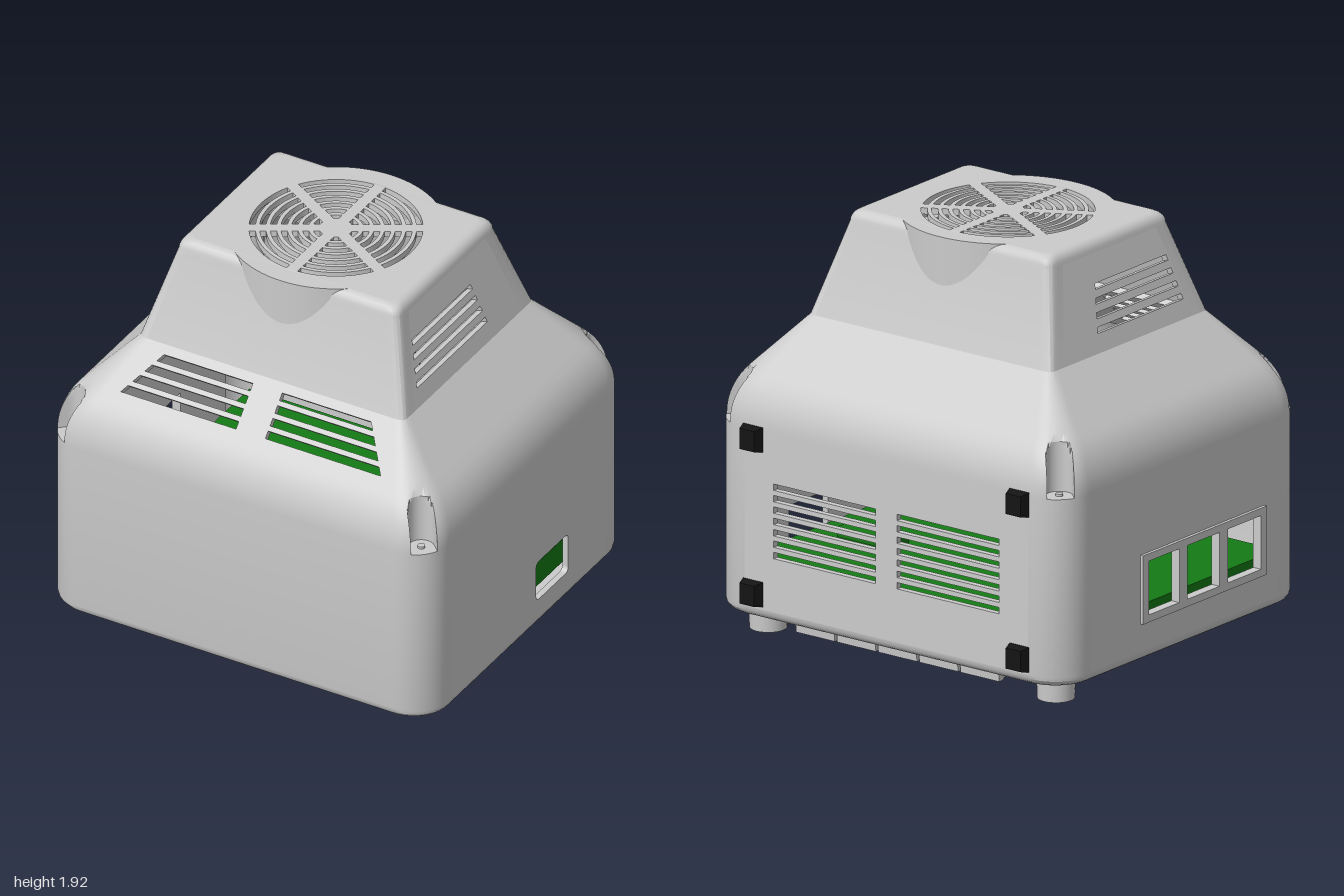
import * as THREE from 'three';
import { toCreasedNormals } from 'three/addons/utils/BufferGeometryUtils.js';

const CX = 0.005, CZ = 0.02;              // middle of the case
const HW = 0.99, HD = 0.877;              // half width and depth of the case
const NOTCH_R = 0.06, NOTCH_T = -0.0746 - NOTCH_R; // screw recess, measured along the corner diagonal
const V = (x, y, z) => new THREE.Vector3(x, y, z);

const grey = new THREE.MeshStandardMaterial({ color: 0xcccccc, side: THREE.DoubleSide });
const green = new THREE.MeshStandardMaterial({ color: 0x147a14 });
const black = new THREE.MeshStandardMaterial({ color: 0x141414 });

// Levels of the shell from bottom to top; "band" names the strip above each level
function shellLevels() {
  const levels = [];
  const body = (y, i, band, notch = false) => levels.push({
    y, hw: HW - i, hd: HD - i, R: 0.18 - 0.48 * i, S: 0.14 - 0.23 * i, band, notch });
  for (let k = 0; k < 4; k++) {
    const a = k / 4 * Math.PI / 2;
    body(0.15 - 0.05 * Math.cos(a), 0.05 * (1 - Math.sin(a)), 'base');
  }
  body(0.15, 0, 'wall');
  body(0.98, 0, 'recessFloor');
  body(0.98, 0, 'shoulder', true);
  for (let k = 0; k < 8; k++) {
    const a = k / 8 * 0.733;
    body(0.99 + 0.33 * Math.sin(a), 0.33 * (1 - Math.cos(a)), 'shoulder', true);
  }
  for (let k = 0; k < 8; k++) body(1.211 + 0.239 * k / 8, 0.085 + 0.225 * k / 8, 'slope', true);
  const hood = (y, hw, hd, R, band) => levels.push({ y, hw, hd, R, S: 0.0687, band });
  hood(1.45, 0.68, 0.567, 0.03, 'hood');
  for (let k = 0; k <= 5; k++) {
    const a = k / 5 * Math.PI / 2;
    hood(1.87 + 0.055 * Math.sin(a), 0.522 + 0.046 * Math.cos(a), 0.387 + 0.046 * Math.cos(a), 0.04, 'top');
  }
  return levels;
}

// Rounded-rectangle ring; each corner is a graph t(s) across its diagonal, cut back by the recess
const CORNERS = [[-1, 1], [1, 1], [1, -1], [-1, -1]];
function ring({ y, hw, hd, R, S, notch }) {
  const half = [];
  for (let k = 1; k <= 6; k++) half.push(NOTCH_R * Math.sin(k * Math.PI / 12));
  for (let k = 0; k <= 6; k++) half.push(0.0605 + (S - 0.0605) * k / 6);
  const list = [...half.map(s => -s).reverse(), 0, ...half];
  const pts = [];
  for (const [dx, dz] of CORNERS) for (const s of list) {
    const m = Math.abs(s), q = Math.SQRT1_2;
    let t = m < R * q ? Math.sqrt(R * R - s * s) - R * Math.SQRT2 : -m;   // from the sharp corner
    t -= (HW - hw) * Math.SQRT2;
    if (notch && m <= NOTCH_R) t = Math.min(t, NOTCH_T - Math.sqrt(NOTCH_R ** 2 - s * s));
    t += (HW - hw) * Math.SQRT2;
    pts.push(V(CX + dx * hw + (dx * t + dz * s) * q, y, CZ + dz * hd + (dz * t - dx * s) * q));
  }
  return pts;
}

// Flat plate with holes in the frame u, v; its outer face lies on the origin
function plate(name, origin, u, v, outline, holes, depth) {
  const vec = pts => pts.map(p => new THREE.Vector2(p[0], p[1]));
  const shape = new THREE.Shape(vec(outline));
  holes.forEach(h => shape.holes.push(new THREE.Path(vec(h))));
  const n = V().crossVectors(u, v);
  const geo = new THREE.ExtrudeGeometry(shape, { depth, bevelEnabled: false });
  geo.translate(0, 0, -depth);
  geo.applyMatrix4(new THREE.Matrix4().makeBasis(u, v, n).setPosition(origin));
  const mesh = new THREE.Mesh(geo, grey);
  mesh.name = name;
  return mesh;
}

// Outline of a rectangle with rounded corners
function rect(x0, x1, y0, y1, r = 0) {
  if (!r) return [[x0, y0], [x1, y0], [x1, y1], [x0, y1]];
  const pts = [];
  [[x1 - r, y1 - r], [x0 + r, y1 - r], [x0 + r, y0 + r], [x1 - r, y0 + r]].forEach(([x, y], q) => {
    for (let k = 0; k <= 5; k++) {
      const a = (q + k / 5) * Math.PI / 2;
      pts.push([x + r * Math.cos(a), y + r * Math.sin(a)]);
    }
  });
  return pts;
}

// Curved slots of the fan grille: seven rings, six spokes
function grilleSlots() {
  const slots = [];
  for (let k = 0; k < 7; k++) for (let j = 0; j < 6; j++) {
    const pts = [], outer = 0.385 - 0.047 * k;
    const arc = (r, dir) => {
      const h = Math.PI / 6 - Math.asin(0.028 / r);
      for (let m = -6; m <= 6; m++) {
        const a = j * Math.PI / 3 + dir * h * m / 6;
        pts.push([r * Math.cos(a), r * Math.sin(a)]);
      }
    };
    arc(outer, 1);
    arc(outer - 0.028, -1);
    slots.push(pts);
  }
  return slots;
}

export function createModel() {
  const model = new THREE.Group();
  const add = (name, geo, mat, x = 0, y = 0, z = 0) => {
    const mesh = new THREE.Mesh(geo, mat);
    mesh.name = name;
    mesh.position.set(x, y, z);
    model.add(mesh);
    return mesh;
  };

  // Shell, leaving out the flat areas that carry openings (sides: 0 front, 1 +x, 2 back, 3 -x)
  const levels = shellLevels(), rings = levels.map(ring);
  const N = rings[0].length, M = N / 4;
  const open = { wall: [1, 2, 3], slope: [0], hood: [1, 3] };
  const pos = [], index = [];
  rings.forEach(r => r.forEach(p => pos.push(p.x, p.y, p.z)));
  for (let l = 0; l < levels.length - 1; l++) for (let j = 0; j < N; j++) {
    if (j % M === M - 1 && open[levels[l].band]?.includes(Math.floor(j / M))) continue;
    const a = l * N + j, b = l * N + (j + 1) % N;
    index.push(a, b, b + N, a, b + N, a + N);
  }
  const shell = new THREE.BufferGeometry();
  shell.setAttribute('position', new THREE.Float32BufferAttribute(pos, 3));
  shell.setIndex(index);
  add('shell', toCreasedNormals(shell, 0.4), grey);

  // Fills a left-out area with a plate; holes are given as [x or z, height]
  function panel(name, band, side, holes) {
    const first = levels.findIndex(l => l.band === band);
    const last = levels.findLastIndex(l => l.band === band) + 1;
    const i = side * M + M - 1, j = (i + 1) % N;
    const [a, b, c, d] = [rings[first][i], rings[first][j], rings[last][j], rings[last][i]];
    const o = a.clone().add(b).multiplyScalar(0.5);
    const u = b.clone().sub(a).normalize();
    const v = c.clone().add(d).multiplyScalar(0.5).sub(o).normalize();
    const flat = p => [p.clone().sub(o).dot(u), p.clone().sub(o).dot(v)];
    const local = ([h, y]) => [side % 2 ? (h - o.z) * u.z : (h - o.x) * u.x, (y - o.y) / v.y];
    model.add(plate(name, o, u, v, [a, b, c, d].map(flat), holes.map(h => h.map(local)), 0.03));
  }

  // Slots in the front slope, hood sides and back
  const frontSlots = [], hoodSlots = [], backSlots = [];
  for (let k = 0; k < 4; k++) {
    const y1 = 1.417 - 0.0437 * k, y0 = y1 - 0.026, x = y => 0.535 + (1.417 - y) * 0.86;
    for (const s of [1, -1])
      frontSlots.push([[0.08, y0], [x(y0), y0], [x(y1), y1], [0.08, y1]].map(p => [CX + s * (p[0] - CX), p[1]]));
    const h1 = 1.742 - 0.061 * k, h0 = h1 - 0.026, e = y => (1.742 - y) * 0.25;
    hoodSlots.push([[-0.128 - e(h0), h0], [0.383 + e(h0), h0], [0.383 + e(h1), h1], [-0.128 - e(h1), h1]]);
  }
  for (let k = 0; k < 7; k++) for (const x of [-0.625, 0.065])
    backSlots.push(rect(x, x + 0.57, 0.4 + 0.053 * k, 0.43 + 0.053 * k));
  panel('frontVents', 'slope', 0, frontSlots);
  panel('hoodVentsLeft', 'hood', 1, hoodSlots);
  panel('hoodVentsRight', 'hood', 3, hoodSlots);
  panel('backVents', 'wall', 2, backSlots);

  // Cable opening on one side, framed triple port on the other
  panel('cableOpening', 'wall', 1, [rect(-0.32, -0.04, 0.24, 0.44, 0.025)]);
  const ports = [[-0.26, -0.04], [0.02, 0.25], [0.31, 0.55]].map(([a, b]) => rect(a, b, 0.315, 0.565));
  panel('portWall', 'wall', 3, ports);
  model.add(plate('portFrame', V(-1, 0, 0), V(0, 0, 1), V(0, 1, 0),
    rect(-0.3, 0.59, 0.28, 0.6), ports, 0.016));

  // Top plate with fan grille, and the round fan housing bulging front and back
  model.add(plate('fanGrille', V(CX, 1.925, CZ), V(1, 0, 0), V(0, 0, -1),
    rings.at(-1).map(p => [p.x - CX, CZ - p.z]), grilleSlots(), 0.03));
  for (const t of [0, Math.PI]) {
    add('fanBulge', new THREE.CylinderGeometry(0.487, 0.487, 0.235, 32, 1, true, t - 0.7, 1.4), grey, CX, 1.807, CZ);
    const cap = new THREE.RingGeometry(0.395, 0.487, 32, 1, t + Math.PI / 2 - 0.7, 1.4).rotateX(-Math.PI / 2);
    add('fanBulgeTop', cap, grey, CX, 1.9245, CZ);
  }

  // Underside with a stepped window
  model.add(plate('bottomPlate', V(CX, 0.1, CZ), V(1, 0, 0), V(0, 0, 1),
    rings[0].map(p => [p.x - CX, p.z - CZ]), [rect(-0.72, 0.72, -0.5, 0.64, 0.06)], 0.04));
  model.add(plate('windowFrame', V(CX, 0.14, CZ), V(1, 0, 0), V(0, 0, 1),
    rect(-0.8, 0.8, -0.58, 0.72), [rect(-0.67, 0.67, -0.45, 0.59, 0.03)], 0.05));

  // Circuit board with a raised component
  add('circuitBoard', new THREE.BoxGeometry(1.8, 0.12, 1.56), green, CX, 0.26, CZ);
  add('boardComponent', new THREE.BoxGeometry(0.3, 0.05, 0.13), green, 0.6, 0.342, -0.185);

  // Rear feet
  for (const s of [-1, 1]) {
    add('foot', new THREE.CylinderGeometry(0.088, 0.084, 0.11, 32), grey, CX + s * 0.805, 0.055, -0.67);
  }

  // Row of wedge ribs between the feet
  const wedge = new THREE.Shape([[0.78, 0.105], [0.68, 0.105], [0.75, 0.05], [0.775, 0.05]]
    .map(p => new THREE.Vector2(...p)));
  for (let k = -2; k <= 2; k++) {
    const geo = new THREE.ExtrudeGeometry(wedge, { depth: 0.216, bevelEnabled: false });
    geo.translate(0, 0, -0.108).rotateY(Math.PI / 2);
    add('wedgeRib', geo, grey, CX + k * 0.23, 0, 0);
  }

  // Tapered rubber pads on the back
  const pad = new THREE.BoxGeometry(0.115, 0.12, 0.055);
  const pp = pad.attributes.position;
  for (let i = 0; i < pp.count; i++)
    if (pp.getZ(i) < 0) pp.setXY(i, pp.getX(i) * 0.72, pp.getY(i) * 0.8);
  pad.computeVertexNormals();
  for (const x of [-0.745, 0.745]) for (const y of [0.22, 0.94]) add('backPad', pad, black, x + CX, y, -0.875);

  // Screws in the corner recesses
  for (const [dx, dz] of CORNERS) {
    const t = NOTCH_T * Math.SQRT1_2;
    add('cornerScrew', new THREE.CylinderGeometry(0.017, 0.017, 0.012, 16), grey,
      CX + dx * (HW + t), 0.985, CZ + dz * (HD + t));
  }
  return model;
}
